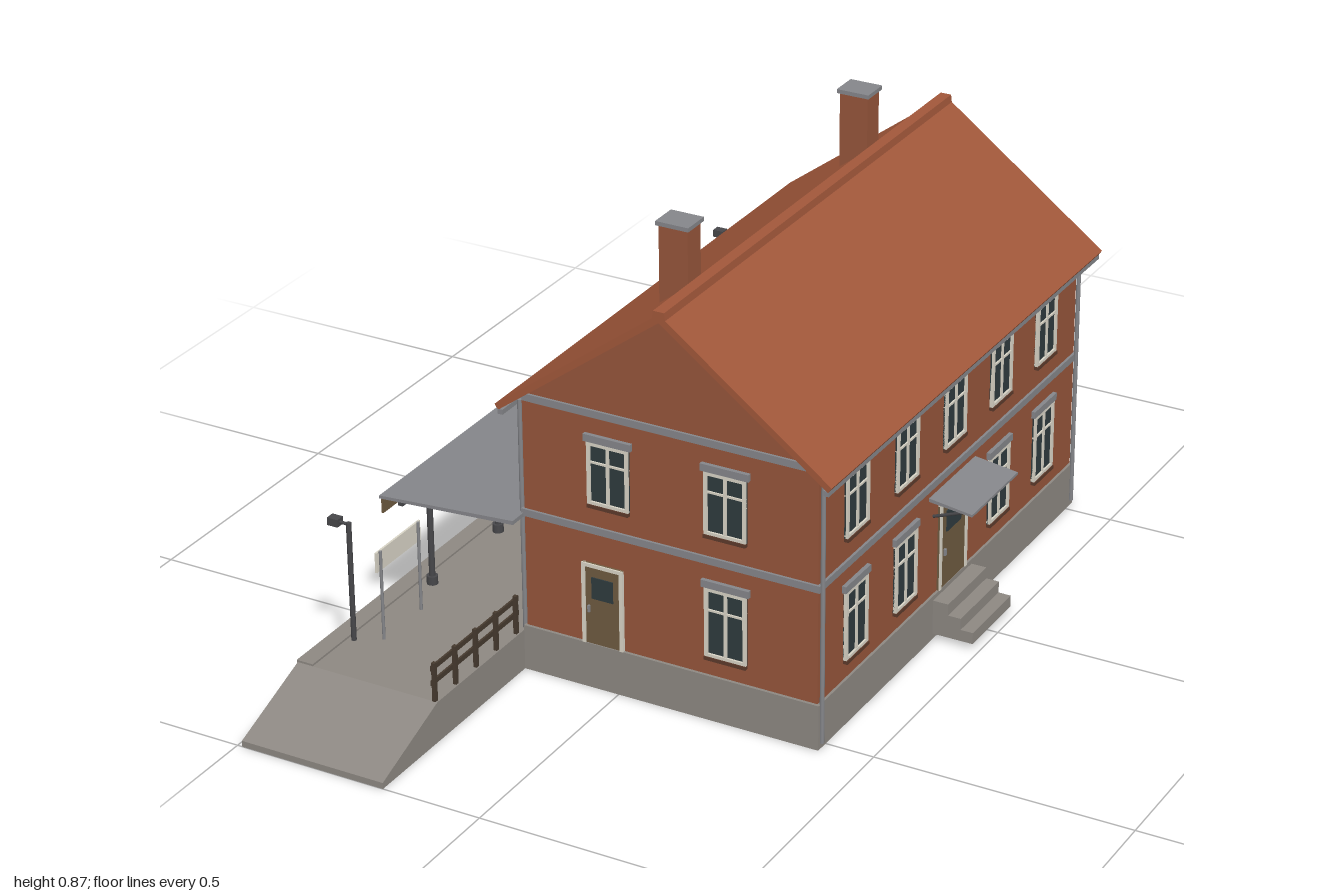
import * as THREE from 'three';

const mat = (name, color) => Object.assign(new THREE.MeshStandardMaterial({ color }), { name });
const M = {
  brick: mat('brick', 0x96553b),
  roof: mat('roof tile', 0xa1573a),
  stone: mat('stone', 0x8d8882),
  metal: mat('grey metal', 0x85868a),
  cream: mat('cream paint', 0xd8d4c6),
  glass: mat('dark glass', 0x2f3b3e),
  wood: mat('wood', 0x6e5a40),
  iron: mat('dark iron', 0x47474a),
  fence: mat('dark timber', 0x463a2f),
  sill: mat('sill brown', 0x5c3a2b),
};

// Axis-aligned box from its limits
function box(parent, name, m, x0, x1, y0, y1, z0, z1) {
  const mesh = new THREE.Mesh(new THREE.BoxGeometry(x1 - x0, y1 - y0, z1 - z0), m);
  mesh.position.set((x0 + x1) / 2, (y0 + y1) / 2, (z0 + z1) / 2);
  mesh.name = name;
  parent.add(mesh);
  return mesh;
}

// Profile in x and y, extruded between two z values
function prism(parent, name, m, pts, z0, z1) {
  const shape = new THREE.Shape(pts.map(p => new THREE.Vector2(...p)));
  const geo = new THREE.ExtrudeGeometry(shape, { depth: z1 - z0, bevelEnabled: false });
  geo.translate(0, 0, z0);
  const mesh = new THREE.Mesh(geo, m);
  mesh.name = name;
  parent.add(mesh);
  return mesh;
}

// Round bar between two points
function bar(parent, name, m, a, b, r, sides = 8) {
  const A = new THREE.Vector3(...a), B = new THREE.Vector3(...b);
  const d = B.clone().sub(A);
  const mesh = new THREE.Mesh(new THREE.CylinderGeometry(r, r, d.length(), sides), m);
  mesh.position.copy(A).add(B).multiplyScalar(0.5);
  mesh.quaternion.setFromUnitVectors(new THREE.Vector3(0, 1, 0), d.normalize());
  mesh.name = name;
  parent.add(mesh);
}

function group(parent, name) {
  const g = new THREE.Group();
  g.name = name;
  parent.add(g);
  return g;
}

// Cream surround made of two jambs and a head
function surround(g, u, w, y0, y1, t) {
  for (const s of [-1, 1]) {
    const c = u + s * (w - t / 2);
    box(g, 'frameJamb', M.cream, c - t / 2, c + t / 2, y0, y1, 0, 0.007);
  }
  box(g, 'frameHead', M.cream, u - w, u + w, y1 - t, y1, 0, 0.007);
}

// Window on a facade: u is the horizontal position, local z points outwards
function addWindow(facade, u, y0, y1) {
  const g = group(facade, 'window'), w = 0.042, h = y1 - y0;
  box(g, 'glass', M.glass, u - w, u + w, y0, y1, 0, 0.003);
  surround(g, u, w, y0, y1, 0.007);
  box(g, 'frameFoot', M.cream, u - w, u + w, y0, y0 + 0.006, 0, 0.007);
  box(g, 'mullion', M.cream, u - 0.003, u + 0.003, y0, y1, 0, 0.006);
  box(g, 'glazingBar', M.cream, u - w, u + w, y0 + h * 0.66, y0 + h * 0.66 + 0.004, 0, 0.006);
  box(g, 'lintel', M.metal, u - w - 0.006, u + w + 0.006, y1, y1 + 0.014, 0, 0.008);
  box(g, 'sill', M.sill, u - w, u + w, y0 - 0.007, y0, 0, 0.009);
}

function addDoor(facade, u, w, y1) {
  const g = group(facade, 'door');
  box(g, 'doorLeaf', M.wood, u - w, u + w, 0.09, y1, 0, 0.004);
  surround(g, u, w, 0.09, y1, 0.007);
  box(g, 'doorGlass', M.glass, u - w * 0.52, u + w * 0.52, y1 - 0.07, y1 - 0.027, 0, 0.006);
  box(g, 'doorHandle', M.metal, u - w * 0.7, u - w * 0.6, 0.155, 0.168, 0, 0.009);
}

function addFacade(parent, name, x, z, turn) {
  const f = group(parent, name);
  f.position.set(x, 0, z);
  f.rotation.y = turn;
  return f;
}

const UP = [0.374, 0.497], LOW = [0.13, 0.268];
const CX = 0.104;

function buildHouse(root) {
  const h = group(root, 'house');
  box(h, 'foundation', M.stone, -0.196, 0.405, 0, 0.09, -0.528, 0.528);
  prism(h, 'walls', M.brick, [[-0.192, 0.09], [0.4, 0.09], [0.4, 0.55], [CX, 0.772], [-0.192, 0.55]], -0.522, 0.522);
  box(h, 'middleBelt', M.metal, -0.197, 0.405, 0.314, 0.328, -0.527, 0.527);
  box(h, 'upperBelt', M.metal, -0.194, 0.402, 0.545, 0.559, -0.527, 0.527).scale.x = 0.985;

  // Roof, ridge and chimneys
  prism(h, 'roof', M.roof, [[CX - 0.335, 0.538], [CX - 0.328, 0.528], [CX, 0.772], [CX + 0.328, 0.528],
    [CX + 0.335, 0.538], [CX, 0.788]], -0.55, 0.55);
  prism(h, 'ridgeCap', M.roof, [[CX - 0.013, 0.777], [CX + 0.013, 0.777], [CX + 0.011, 0.793], [CX - 0.011, 0.793]], -0.55, 0.55);
  for (const z of [-0.34, 0.34]) {
    box(h, 'chimney', M.brick, -0.002, 0.056, 0.66, 0.859, z - 0.023, z + 0.023);
    box(h, 'chimneyCap', M.metal, -0.006, 0.06, 0.859, 0.867, z - 0.028, z + 0.028);
  }

  // Gutters and downpipes
  for (const s of [-1, 1]) {
    const gx = CX + s * 0.324;
    box(h, 'gutter', M.metal, gx - 0.005, gx + 0.005, 0.52, 0.53, -0.55, 0.55);
    const px = CX + s * 0.303;
    for (const z of [-0.518, 0.518]) bar(h, 'downpipe', M.metal, [px, 0.012, z], [px, 0.541, z], 0.0045);
  }

  // Gable ends
  const front = addFacade(h, 'frontFacade', 0, 0.522, 0);
  addDoor(front, -0.031, 0.042, 0.253);
  addWindow(front, 0.219, ...LOW);
  const back = addFacade(h, 'backFacade', 0, -0.522, Math.PI);
  for (const u of [0.016, -0.219]) {
    addWindow(front, -u, ...UP);
    addWindow(back, u, ...UP);
    addWindow(back, u, ...LOW);
  }

  // Long sides
  const street = addFacade(h, 'streetFacade', 0.4, 0, Math.PI / 2);
  const track = addFacade(h, 'platformFacade', -0.192, 0, -Math.PI / 2);
  for (const f of [street, track]) {
    for (const u of [-0.385, -0.192, 0, 0.192, 0.385]) {
      addWindow(f, u, ...UP);
      if (u) addWindow(f, u, ...LOW);
    }
    addDoor(f, 0, 0.056, 0.27);
  }
}

function buildEntrance(root) {
  const e = group(root, 'streetEntrance');
  [[0.487, 0.012, 0.035], [0.462, 0.035, 0.058], [0.436, 0.058, 0.081]].forEach(([x, y0, y1]) =>
    box(e, 'step', M.stone, 0.4, x, y0, y1, -0.08, 0.08));
  prism(e, 'entranceCanopy', M.metal, [[0.4, 0.291], [0.487, 0.281], [0.487, 0.286], [0.4, 0.298]], -0.095, 0.095);
  for (const z of [-0.08, 0.08]) {
    bar(e, 'canopyBrace', M.iron, [0.402, 0.255, z], [0.474, 0.282, z], 0.003, 6);
  }
}

function buildPlatform(root) {
  const p = group(root, 'platform');
  // Slab with a ramp at each end, profile drawn along z
  const slab = prism(p, 'platformSlab', M.stone,
    [[-1, 0], [1, 0], [1, 0.012], [0.82, 0.08], [-0.82, 0.08], [-1, 0.012]], 0, 0.294);
  slab.rotation.y = -Math.PI / 2;
  slab.position.x = -0.196;
  box(p, 'platformBrickFace', M.brick, -0.492, -0.488, 0.002, 0.076, -0.82, 0.82);
  box(p, 'platformCoping', M.stone, -0.492, -0.458, 0.076, 0.084, -0.82, 0.82);

  // Canopy over the platform
  const c = group(root, 'platformCanopy');
  prism(c, 'canopyRoof', M.metal, [[-0.475, 0.294], [-0.192, 0.312], [-0.192, 0.32], [-0.475, 0.3]], -0.563, 0.563);
  box(c, 'canopyFascia', M.wood, -0.473, -0.469, 0.264, 0.296, -0.56, 0.56);
  box(c, 'canopyBeam', M.iron, -0.44, -0.43, 0.285, 0.297, -0.555, 0.555);
  for (const z of [-0.46, -0.23, 0, 0.23, 0.46]) {
    bar(c, 'canopyPost', M.iron, [-0.435, 0.08, z], [-0.435, 0.29, z], 0.006, 10);
    bar(c, 'postBase', M.iron, [-0.435, 0.08, z], [-0.435, 0.097, z], 0.011, 10);
    bar(c, 'postBrace', M.iron, [-0.434, 0.25, z], [-0.398, 0.293, z], 0.003, 6);
    bar(c, 'rafter', M.iron, [-0.465, 0.29, z], [-0.195, 0.307, z], 0.004, 6);
    for (const s of [-1, 1]) bar(c, 'sideBrace', M.iron, [-0.435, 0.25, z], [-0.435, 0.288, z + s * 0.035], 0.003, 6);
  }
}

function buildFurniture(root) {
  const f = group(root, 'platformFurniture');
  // Benches against the wall
  for (const z of [-0.29, 0.29]) {
    const b = group(f, 'bench');
    for (const s of [-1, 1]) box(b, 'benchSupport', M.stone, -0.24, -0.206, 0.08, 0.112, z + s * 0.05 - 0.005, z + s * 0.05 + 0.005);
    box(b, 'benchSeat', M.wood, -0.243, -0.205, 0.112, 0.117, z - 0.07, z + 0.07);
    prism(b, 'benchBack', M.wood, [[-0.216, 0.125], [-0.212, 0.125], [-0.203, 0.158], [-0.207, 0.158]], z - 0.07, z + 0.07);
  }
  for (const s of [-1, 1]) {
    // Blank name board on two posts
    const n = group(f, 'signBoard');
    box(n, 'board', M.cream, -0.406, -0.402, 0.219, 0.259, s * 0.615 - 0.072, s * 0.615 + 0.072);
    for (const o of [-0.062, 0.062]) bar(n, 'signPost', M.metal, [-0.4, 0.08, s * 0.615 + o], [-0.4, 0.26, s * 0.615 + o], 0.003);

    // Lamp
    const l = group(f, 'lamp'), z = s * 0.705;
    bar(l, 'lampPole', M.iron, [-0.446, 0.08, z], [-0.446, 0.319, z], 0.005);
    bar(l, 'lampArm', M.iron, [-0.446, 0.315, z], [-0.47, 0.316, z], 0.003, 6);
    box(l, 'lampHead', M.iron, -0.486, -0.464, 0.308, 0.323, z - 0.009, z + 0.009);

    // Fence along the back of the platform
    const r = group(f, 'fence');
    for (let i = 0; i < 5; i++) {
      const pz = s * (0.545 + i * 0.068);
      box(r, 'fencePost', M.fence, -0.206, -0.199, 0.075, 0.157, pz - 0.004, pz + 0.004);
    }
    for (const y of [0.115, 0.144]) {
      box(r, 'fenceRail', M.fence, -0.209, -0.205, y - 0.005, y + 0.005, s * 0.675 - 0.145, s * 0.675 + 0.145);
    }
  }
}

export function createModel() {
  const root = new THREE.Group();
  root.name = 'stationBuilding';
  buildHouse(root);
  buildEntrance(root);
  buildPlatform(root);
  buildFurniture(root);
  return root;
}
